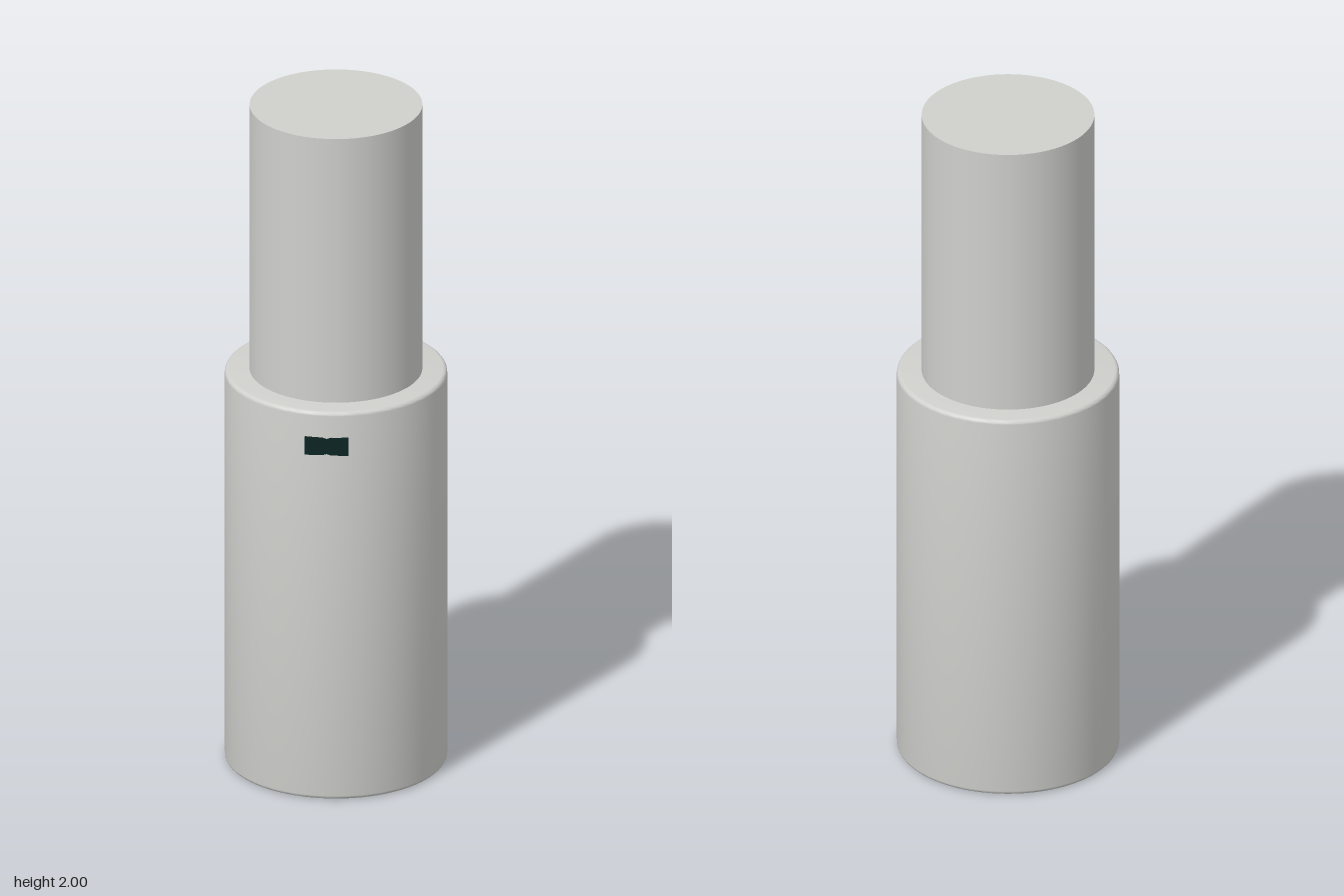
import * as THREE from 'three';
import { toCreasedNormals } from 'three/addons/utils/BufferGeometryUtils.js';

const SEGMENTS = 96;

// Solid of revolution with a small rounded edge at the bottom and top
function roundedCylinder(radius, y0, y1, bevel) {
  const points = [new THREE.Vector2(0, y0)];
  const steps = 5;
  const corner = (cy, from) => {
    for (let i = 0; i <= steps; i++) {
      const a = from + (i / steps) * Math.PI / 2;
      points.push(new THREE.Vector2(radius - bevel + bevel * Math.cos(a), cy + bevel * Math.sin(a)));
    }
  };
  corner(y0 + bevel, -Math.PI / 2);
  corner(y1 - bevel, 0);
  points.push(new THREE.Vector2(0, y1));
  return toCreasedNormals(new THREE.LatheGeometry(points, SEGMENTS), 0.5);
}

export function createModel() {
  const group = new THREE.Group();
  const shell = new THREE.MeshStandardMaterial({ color: 0xcfcfcc });
  shell.name = 'light grey';
  const dark = new THREE.MeshStandardMaterial({ color: 0x0d2424 });
  dark.name = 'dark teal';

  const add = (name, geometry, material) => {
    const mesh = new THREE.Mesh(geometry, material);
    mesh.name = name;
    group.add(mesh);
    return mesh;
  };

  // Wide lower body
  add('body', roundedCylinder(0.313, 0, 1.19, 0.012), shell);

  // Narrower upper cylinder, sharp top edge
  const upper = add('upperCylinder', new THREE.CylinderGeometry(0.243, 0.243, 0.82, SEGMENTS), shell);
  upper.position.y = 1.59;

  // Thin front badge, slightly waisted in the middle
  const w = 0.062, h = 0.027, waist = 0.023;
  const badge = new THREE.Shape();
  badge.moveTo(-w, -h);
  badge.lineTo(-0.012, -h);
  badge.lineTo(0, -waist);
  badge.lineTo(0.012, -h);
  badge.lineTo(w, -h);
  badge.lineTo(w, h);
  badge.lineTo(0.012, h);
  badge.lineTo(0, waist);
  badge.lineTo(-0.012, h);
  badge.lineTo(-w, h);
  badge.closePath();
  const plate = add('badge', new THREE.ExtrudeGeometry(badge, { depth: 0.006, bevelEnabled: false }), dark);
  plate.position.set(0, 1.086, 0.308);

  return group;
}
